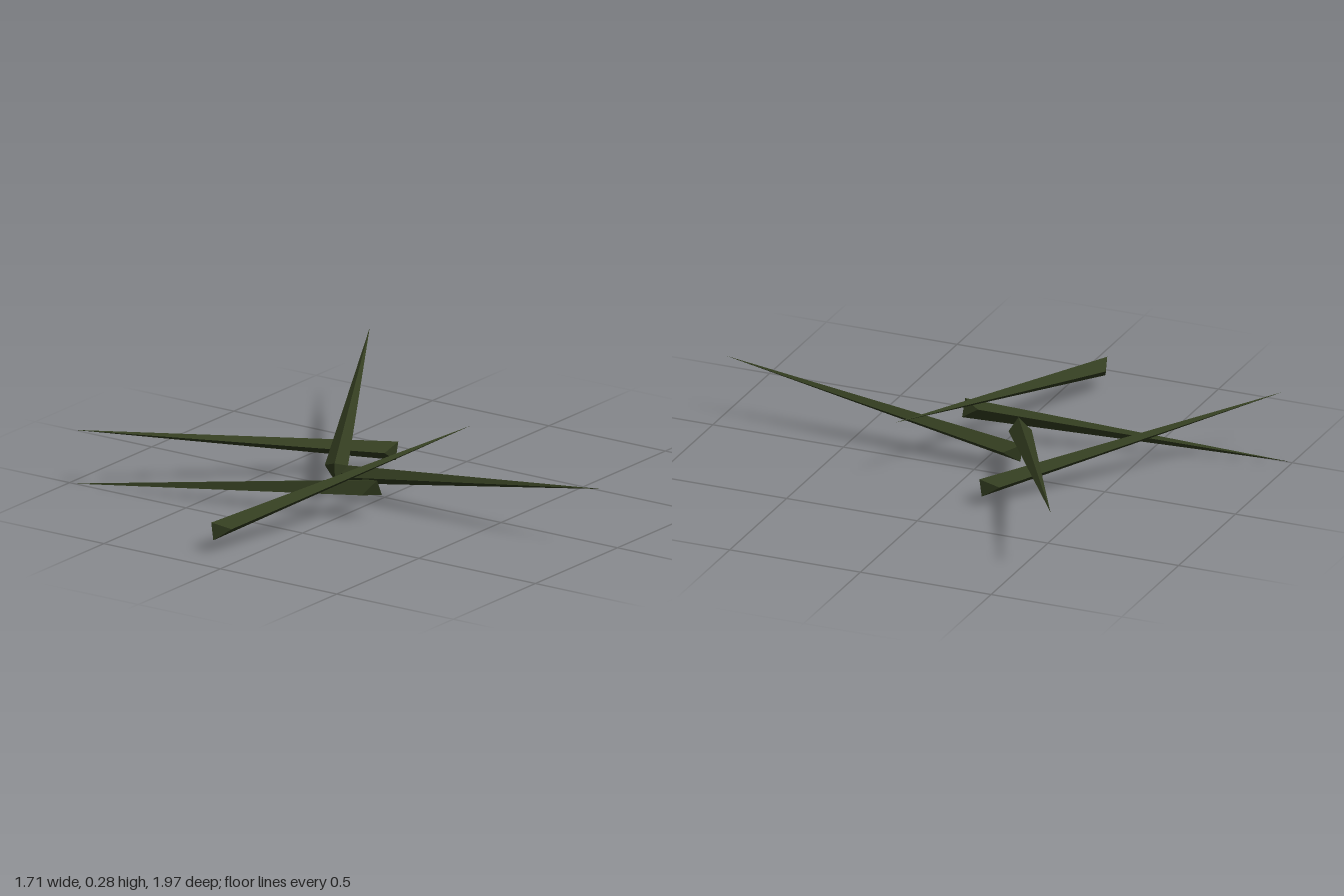
import * as THREE from 'three';

const HALF_WIDTH = 0.041;
const HALF_HEIGHT = 0.034;
const BEVEL = 0.055;

// Long four-sided spike along +z, ending in a short wedge at the butt
function spikeGeometry(length) {
  const top = [0, HALF_HEIGHT, 0];
  const bottom = [0, -HALF_HEIGHT, 0];
  const left = [-HALF_WIDTH, 0, BEVEL];
  const right = [HALF_WIDTH, 0, BEVEL];
  const tip = [0, 0, length];
  const faces = [
    right, top, tip, top, left, tip, left, bottom, tip, bottom, right, tip,
    top, right, bottom, top, bottom, left,
  ];
  const geometry = new THREE.BufferGeometry();
  geometry.setAttribute('position', new THREE.Float32BufferAttribute(faces.flat(), 3));
  geometry.computeVertexNormals();
  return geometry;
}

// Spike running from the middle of its butt ridge to its tip
function makeSpike({ name, butt, tip, up = [0, 1, 0] }, material) {
  const start = new THREE.Vector3(...butt);
  const axis = new THREE.Vector3(...tip).sub(start);
  const mesh = new THREE.Mesh(spikeGeometry(axis.length()), material);
  const z = axis.clone().normalize();
  const x = new THREE.Vector3(...up).cross(z).normalize();
  const y = z.clone().cross(x);
  mesh.quaternion.setFromRotationMatrix(new THREE.Matrix4().makeBasis(x, y, z));
  mesh.position.copy(start);
  mesh.name = name;
  return mesh;
}

export function createModel() {
  const group = new THREE.Group();
  group.name = 'scatteredSpikes';
  const darkOlive = new THREE.MeshStandardMaterial({ color: 0x333d20 });
  darkOlive.name = 'darkOlive';

  const spikes = [
    { name: 'spikeBackLeft', butt: [-0.162, 0.117, -0.1], tip: [0.845, 0.28, -0.66] },
    { name: 'spikeBackRight', butt: [0.288, 0.068, -0.15], tip: [-0.577, 0.228, -0.93] },
    { name: 'spikeBack', butt: [-0.23, 0.122, 0.14], tip: [-0.505, 0, -0.99], up: [-0.45, 0.9, 0] },
    { name: 'spikeLeft', butt: [-0.865, 0.078, -0.13], tip: [0.24, 0.238, 0.2] },
    { name: 'spikeFront', butt: [-0.05, 0.07, -0.16], tip: [-0.08, 0.235, 0.985] },
  ];
  for (const spike of spikes) group.add(makeSpike(spike, darkOlive));
  return group;
}
